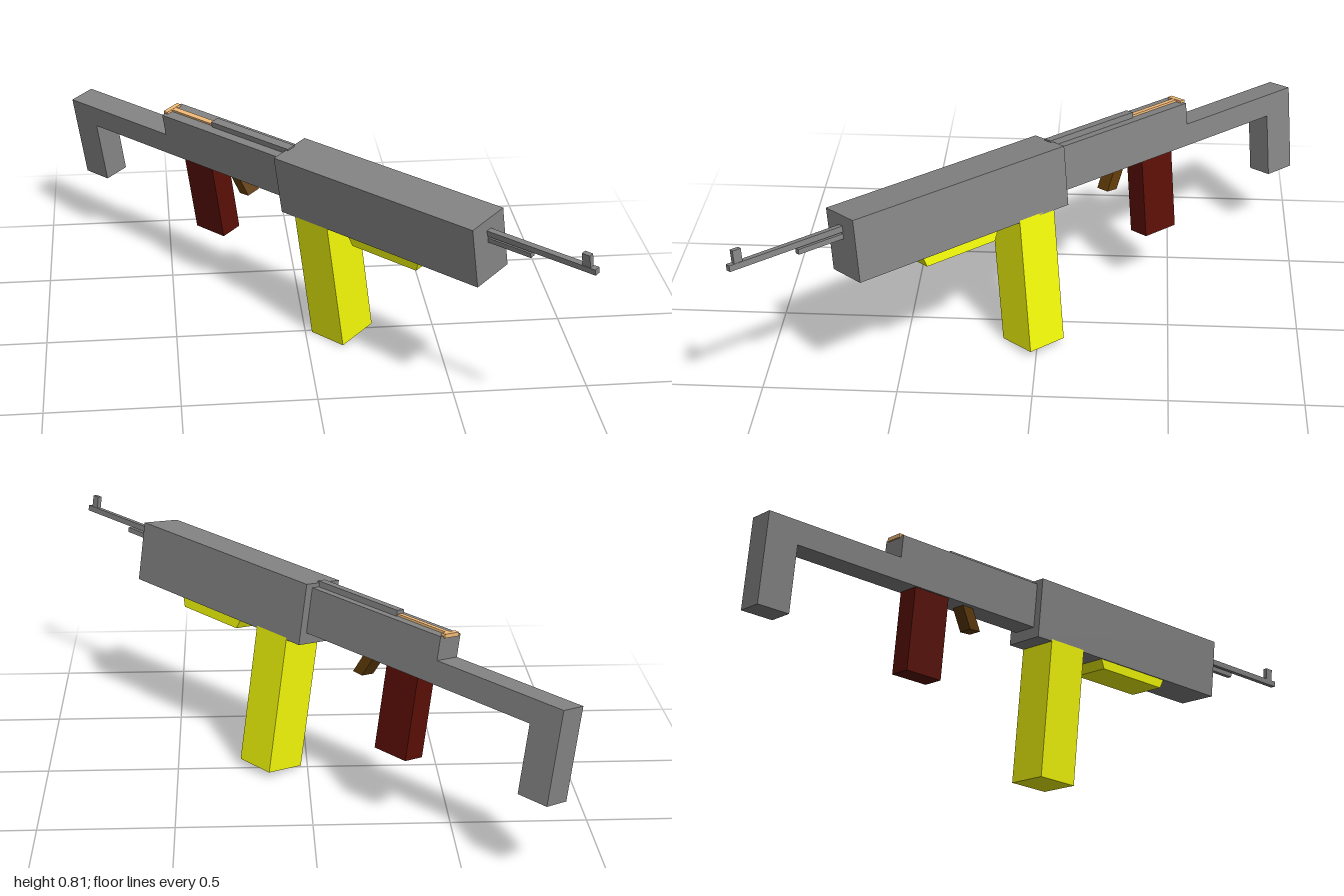
import * as THREE from 'three';

const mat = (color) => new THREE.MeshStandardMaterial({ color });

export function createModel() {
  const grey = mat(0x858585), yellow = mat(0xf5fb08), red = mat(0x5a0f06);
  const brown = mat(0x603c08), tan = mat(0xf5bc78);

  // Local frame: x runs forward along the barrel, y up, z across
  const body = new THREE.Group();
  body.name = 'body';

  const add = (name, geometry, material) => {
    const mesh = new THREE.Mesh(geometry, material);
    mesh.name = name;
    body.add(mesh);
  };

  // Box given by its extents along x and y and its half width
  const box = (name, x0, x1, y0, y1, half, material) => {
    const g = new THREE.BoxGeometry(x1 - x0, y1 - y0, half * 2);
    g.translate((x0 + x1) / 2, (y0 + y1) / 2, 0);
    add(name, g, material);
  };

  // Side profile extruded evenly about the centre plane
  const slab = (name, points, half, material) => {
    const shape = new THREE.Shape(points.map(([x, y]) => new THREE.Vector2(x, y)));
    const g = new THREE.ExtrudeGeometry(shape, { depth: half * 2, bevelEnabled: false });
    g.translate(0, 0, -half);
    add(name, g, material);
  };

  // Main housing
  box('housing', -0.06, 0.873, -0.108, 0.127, 0.085, grey);

  // Rear receiver stepping down into the stock and its butt
  slab('receiverAndStock', [
    [-1.26, -0.318], [-1.133, -0.318], [-1.133, -0.064], [-0.05, -0.064],
    [-0.05, 0.111], [-0.698, 0.111], [-0.698, 0.024], [-1.26, 0.024],
  ], 0.053, grey);

  // Top rail and T-shaped handle
  box('topRail', -0.455, -0.05, 0.1, 0.133, 0.018, grey);
  box('handleBar', -0.704, -0.684, 0.105, 0.12, 0.037, tan);
  box('handleStem', -0.69, -0.45, 0.105, 0.119, 0.011, tan);

  // Barrel, lower rod and front sight
  box('barrel', 0.86, 1.321, 0.063, 0.085, 0.011, grey);
  box('lowerRod', 0.86, 1.055, 0.037, 0.056, 0.01, grey);
  box('frontSight', 1.268, 1.3, 0.075, 0.132, 0.009, grey);

  // Magazine and tapered handguard
  box('magazine', 0.008, 0.17, -0.6405, -0.1, 0.085, yellow);
  slab('handguard', [
    [0.285, -0.144], [0.588, -0.144], [0.605, -0.1], [0.265, -0.1],
  ], 0.08, yellow);

  // Rear grip and slanted trigger
  box('grip', -0.617, -0.465, -0.381, -0.06, 0.045, red);
  slab('trigger', [
    [-0.342, -0.146], [-0.296, -0.143], [-0.34, -0.06], [-0.388, -0.06],
  ], 0.03, brown);

  // Turn the body diagonally with a slight roll
  const forward = new THREE.Vector3(0.666, 0.027, 0.745).normalize();
  const side = forward.clone().cross(new THREE.Vector3(-0.123, 0.988, 0.086)).normalize();
  const up = side.clone().cross(forward);
  body.quaternion.setFromRotationMatrix(new THREE.Matrix4().makeBasis(forward, up, side));
  body.position.y = 0.645;

  const model = new THREE.Group();
  model.add(body);
  return model;
}
